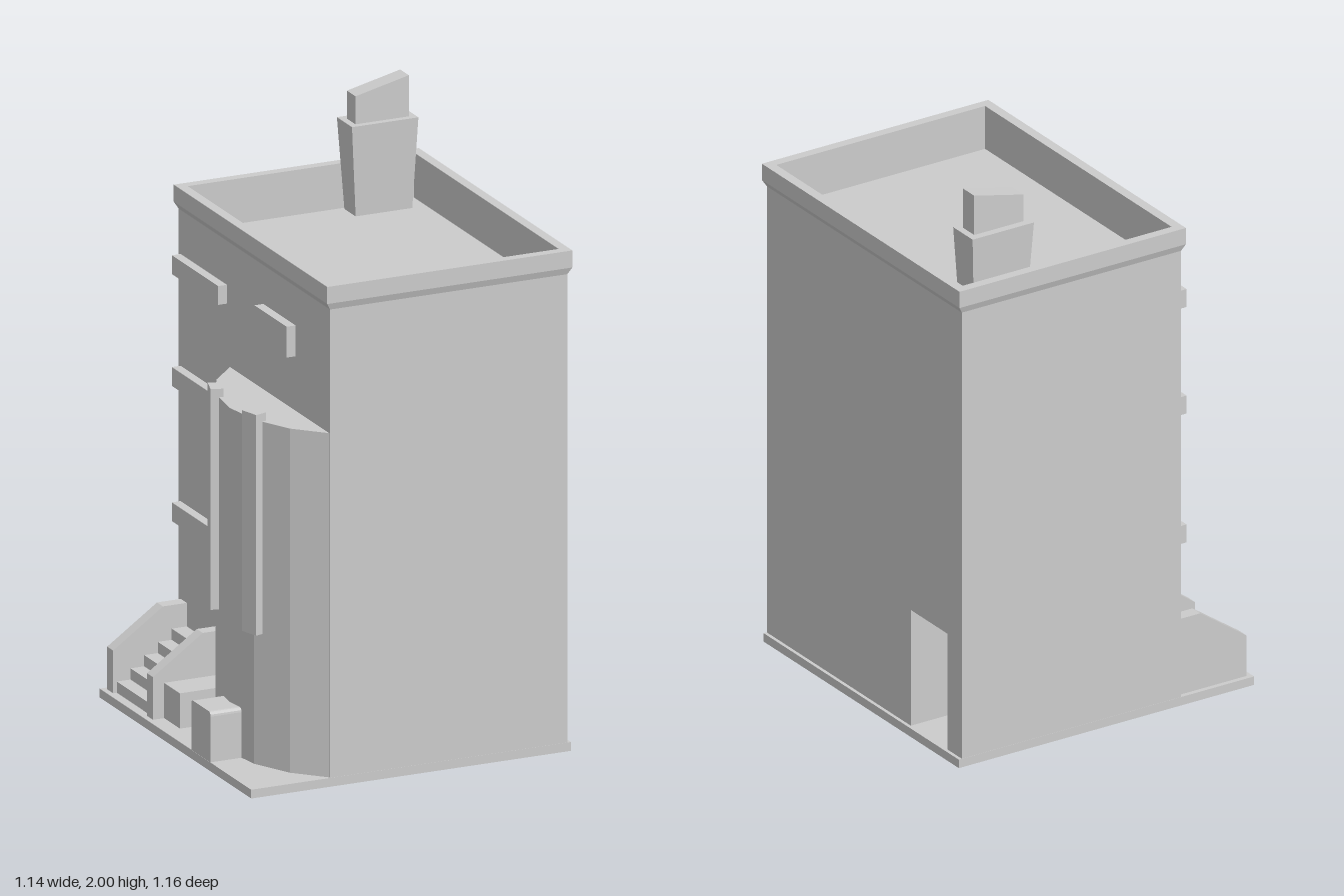
import * as THREE from 'three';

const material = new THREE.MeshStandardMaterial({ color: 0xcccccc, flatShading: true });

export function createModel() {
  const model = new THREE.Group();

  const add = (name, geometry) => {
    const mesh = new THREE.Mesh(geometry, material);
    mesh.name = name;
    model.add(mesh);
    return mesh;
  };

  // Box given by its limits on each axis
  const box = (name, x0, x1, y0, y1, z0, z1) =>
    add(name, new THREE.BoxGeometry(x1 - x0, y1 - y0, z1 - z0)
      .translate((x0 + x1) / 2, (y0 + y1) / 2, (z0 + z1) / 2));

  const extrude = (shape, depth) =>
    new THREE.ExtrudeGeometry(shape, { depth, bevelEnabled: false, curveSegments: 4 });
  const outline = (points) => new THREE.Shape(points.map(([x, y]) => new THREE.Vector2(x, y)));

  // Closed stack of rectangles, each [x0, x1, z0, z1, y]
  const loft = (rings) => {
    const positions = [];
    const index = [];
    for (const [x0, x1, z0, z1, y] of rings) {
      positions.push(x0, y, z1, x1, y, z1, x1, y, z0, x0, y, z0);
    }
    for (let r = 0; r < rings.length - 1; r++) {
      for (let i = 0; i < 4; i++) {
        const a = r * 4 + i, b = r * 4 + (i + 1) % 4;
        index.push(a, b, b + 4, a, b + 4, a + 4);
      }
    }
    const t = (rings.length - 1) * 4;
    index.push(0, 2, 1, 0, 3, 2, t, t + 1, t + 2, t, t + 2, t + 3);
    const geometry = new THREE.BufferGeometry();
    geometry.setAttribute('position', new THREE.Float32BufferAttribute(positions, 3));
    geometry.setIndex(index);
    const flat = geometry.toNonIndexed();
    flat.computeVertexNormals();
    return flat;
  };

  box('basePlate', -0.572, 0.569, 0, 0.03, -0.573, 0.571);

  // Main block, with a wall slice on the left side notched for the doorway
  const [X0, X1, Z0, Z1, TOP] = [-0.29, 0.557, -0.572, 0.57, 1.5];
  box('mainBlock', X0, 0.257, 0.03, TOP, Z0, Z1);
  const wall = outline([
    [-Z1, 0.03], [0.273, 0.03], [0.273, 0.443], [0.488, 0.443],
    [0.488, 0.03], [-Z0, 0.03], [-Z0, TOP], [-Z1, TOP],
  ]);
  add('doorwayWall', extrude(wall, X1 - 0.257).rotateY(Math.PI / 2).translate(0.257, 0, 0));

  // Upper wall, flared cornice, parapet and sunken roof: [x offset, z offset, height]
  const parapet = [
    [0, 0, TOP], [0, 0, 1.622], [0.014, 0.008, 1.645],
    [0.014, 0.008, 1.703], [-0.02, -0.025, 1.703], [-0.02, -0.025, 1.55],
  ];
  add('parapetAndRoof', loft(parapet.map(([dx, dz, y]) =>
    [X0 - dx, X1 + dx, Z0 - dz, Z1 + dz, y])));

  // Chimney with a slanted cap
  add('chimney', loft([
    [0.285, 0.486, -0.536, -0.452, 1.54],
    [0.265, 0.502, -0.552, -0.438, 1.86],
  ]));
  const cap = outline([[0.288, 1.85], [0.478, 1.85], [0.478, 2], [0.288, 1.955]]);
  add('chimneyCap', extrude(cap, 0.065).translate(0, 0, -0.525));

  // Faceted bow front, symmetric about z = 0.19
  const half = [[-0.285, 0.38], [-0.385, 0.277], [-0.45, 0.145]];
  const bay = [
    ...half.map(([x, d]) => [x, d - 0.19]),
    [-0.47, -0.19],
    ...half.slice().reverse().map(([x, d]) => [x, -d - 0.19]),
  ];
  add('bowFront', extrude(outline(bay), 1.17).rotateX(-Math.PI / 2).translate(0, 0.03, 0));

  // Upright fins on the bow front
  for (const s of [-1, 1]) {
    const fin = add('fin', new THREE.BoxGeometry(0.042, 0.75, 0.068));
    fin.position.set(-0.45, 0.853, 0.189 + s * 0.145);
    fin.rotation.y = s * 0.29;
  }

  // Ledges and wall panel
  for (const y of [0.6, 1.06, 1.44]) {
    box('ledge', -0.321, -0.28, y - 0.032, y + 0.032, -0.558, -0.209);
  }
  box('wallPanel', -0.322, -0.28, 1.385, 1.49, 0.067, 0.31);

  // Entrance stairs between two sloping side walls
  const stairWall = outline([
    [-0.553, 0.03], [-0.28, 0.03], [-0.28, 0.3], [-0.375, 0.3], [-0.553, 0.175],
  ]);
  for (const z of [-0.556, -0.256]) {
    add('stairWall', extrude(stairWall, 0.045).translate(0, 0, z));
  }
  for (let i = 0; i < 5; i++) {
    box('step', -0.54 + i * 0.049, -0.28, 0.03 + i * 0.038, 0.068 + i * 0.038, -0.515, -0.255);
  }

  box('lowBlock', -0.513, -0.28, 0.03, 0.15, -0.213, -0.092);

  // Porch block with rounded upper edges
  const porch = new THREE.Shape();
  porch.moveTo(-0.262, 0.03);
  porch.lineTo(-0.117, 0.03);
  porch.lineTo(-0.117, 0.185);
  porch.quadraticCurveTo(-0.117, 0.2, -0.131, 0.2);
  porch.lineTo(-0.248, 0.2);
  porch.quadraticCurveTo(-0.262, 0.2, -0.262, 0.185);
  add('porchBlock', extrude(porch, 0.125).rotateY(Math.PI / 2).translate(-0.571, 0, 0));

  return model;
}
